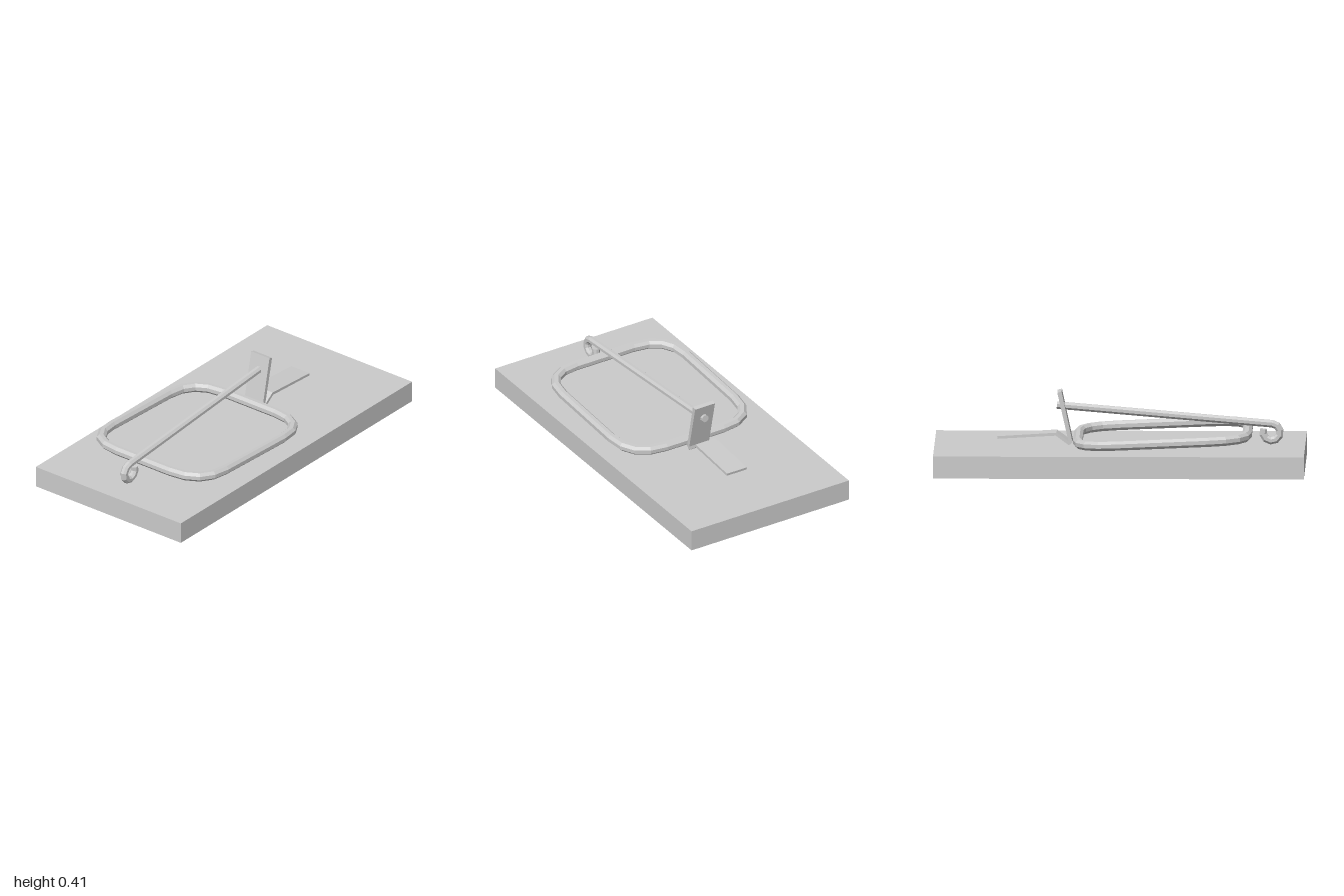
import * as THREE from 'three';

const material = new THREE.MeshStandardMaterial({ color: 0xcccccc, flatShading: true });

// Sweeps a round wire along points lying in a plane with the given normal, mitred at each bend
function wire(points, normal, radius, sides, closed) {
  const n = points.length, pos = [], index = [];
  const dir = (a, b) => points[b].clone().sub(points[a]).normalize();
  points.forEach((p, i) => {
    const hasPrev = closed || i > 0, hasNext = closed || i < n - 1;
    const next = hasNext ? dir(i, (i + 1) % n) : dir(i - 1, i);
    const prev = hasPrev ? dir((i + n - 1) % n, i) : next;
    const tangent = prev.clone().add(next).normalize();
    const side = normal.clone().cross(tangent).divideScalar(tangent.dot(next));
    for (let s = 0; s < sides; s++) {
      const a = ((s + 0.5) / sides) * Math.PI * 2;
      const v = p.clone().addScaledVector(side, Math.cos(a) * radius)
        .addScaledVector(normal, Math.sin(a) * radius);
      pos.push(v.x, v.y, v.z);
    }
  });
  const spans = closed ? n : n - 1;
  for (let i = 0; i < spans; i++) {
    for (let s = 0; s < sides; s++) {
      const t = (s + 1) % sides, j = (i + 1) % n;
      const a = i * sides + s, b = i * sides + t, c = j * sides + t, d = j * sides + s;
      index.push(a, d, b, b, d, c);
    }
  }
  // Flat end caps on open wires
  if (!closed) {
    const last = (n - 1) * sides;
    for (let s = 1; s < sides - 1; s++) index.push(0, s, s + 1, last, last + s + 1, last + s);
  }
  // Flip every face if the sweep came out inside-out
  const p = (i) => new THREE.Vector3().fromArray(pos, i * 3);
  const face = p(index[1]).sub(p(index[0])).cross(p(index[2]).sub(p(index[0])));
  const outward = p(index[0]).add(p(index[2])).multiplyScalar(0.5).sub(points[0]);
  if (face.dot(outward) < 0) index.reverse();
  const geometry = new THREE.BufferGeometry();
  geometry.setAttribute('position', new THREE.Float32BufferAttribute(pos, 3));
  geometry.setIndex(index);
  geometry.computeVertexNormals();
  return geometry;
}

export function createModel() {
  const model = new THREE.Group();
  const add = (name, geometry) => {
    const mesh = new THREE.Mesh(geometry, material);
    mesh.name = name;
    model.add(mesh);
    return mesh;
  };

  // Wooden board
  add('baseBoard', new THREE.BoxGeometry(2, 0.12, 1)).position.y = 0.06;

  // Rounded rectangular wire frame, sloping down toward +x
  const hx = 0.457, hz = 0.391, bend = 0.21, loop = [];
  for (const [sx, sz] of [[1, 1], [-1, 1], [-1, -1], [1, -1]]) {
    const alongX = new THREE.Vector2(sx * (hx - bend), sz * hz);
    const alongZ = new THREE.Vector2(sx * hx, sz * (hz - bend));
    const ends = sx * sz > 0 ? [alongZ, alongX] : [alongX, alongZ];
    const corner = new THREE.QuadraticBezierCurve(ends[0], new THREE.Vector2(sx * hx, sz * hz), ends[1]);
    for (const q of corner.getPoints(4)) loop.push(new THREE.Vector3(q.x, 0, q.y));
  }
  const frame = add('hammerFrame', wire(loop, new THREE.Vector3(0, 1, 0), 0.027, 8, true));
  frame.position.set(-0.232, 0.176, 0);
  frame.rotation.z = -0.044;

  // Holding bar: straight rod with a curled eye at its far end
  const bar = [new THREE.Vector3(0.34, 0.331, 0)];
  for (let i = 0; i <= 8; i++) {
    const a = THREE.MathUtils.degToRad(95 + i * 36);
    bar.push(new THREE.Vector3(-0.817 + Math.cos(a) * 0.046, 0.186 + Math.sin(a) * 0.046, 0));
  }
  add('holdingBar', wire(bar, new THREE.Vector3(0, 0, 1), 0.021, 8, false));

  // Bent sheet trigger: upright catch, short ramp and bait tongue
  const profile = new THREE.Shape([
    [0.314, 0.412], [0.255, 0.137], [0.274, 0.12], [0.345, 0.173], [0.659, 0.155],
    [0.661, 0.169], [0.341, 0.189], [0.277, 0.143], [0.337, 0.406],
  ].map(([x, y]) => new THREE.Vector2(x, y)));
  const width = 0.126;
  add('triggerPlate', new THREE.ExtrudeGeometry(profile, { depth: width, bevelEnabled: false }))
    .position.z = -width / 2;

  return model;
}
